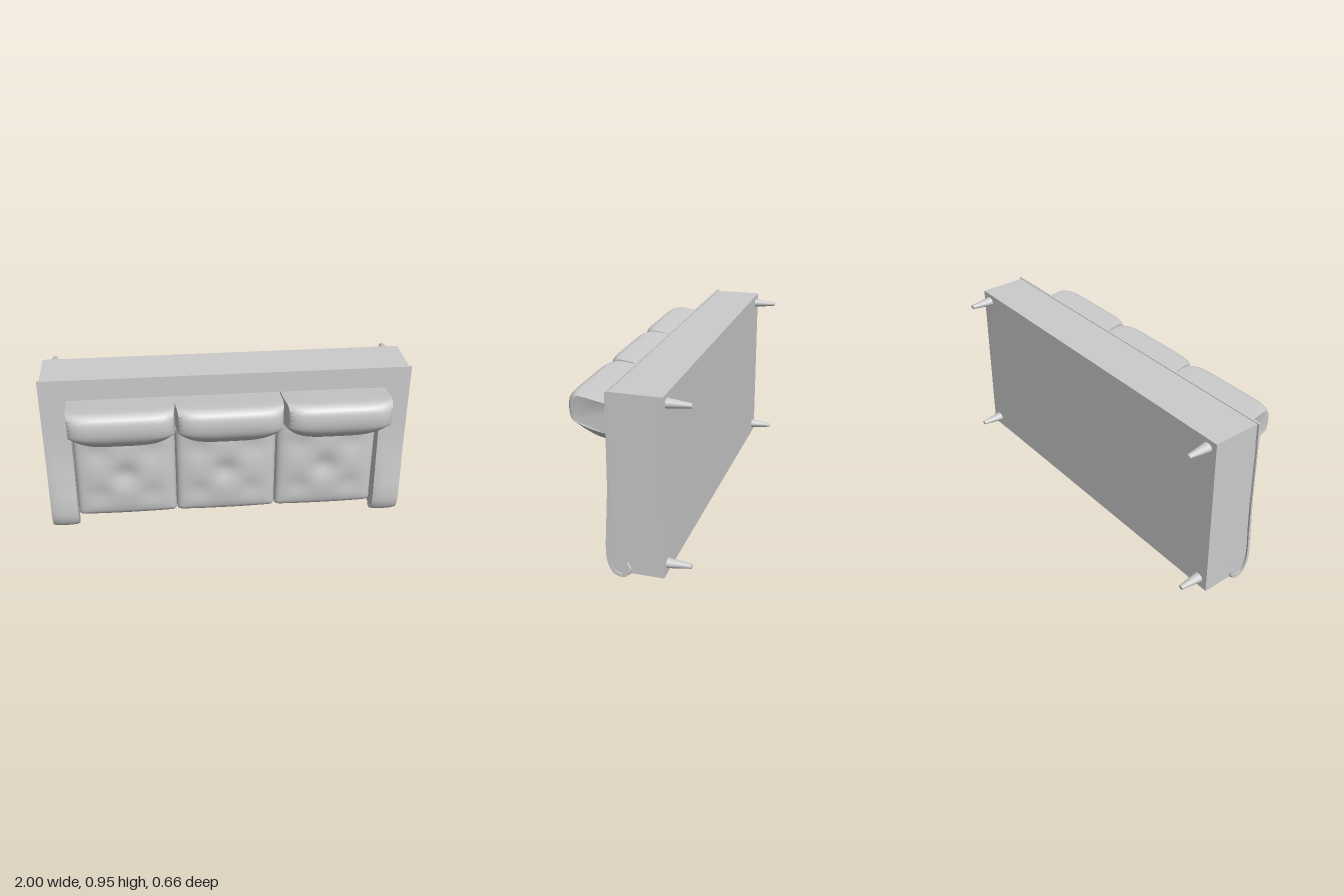
import * as THREE from 'three';
import { mergeVertices, toCreasedNormals } from 'three/addons/utils/BufferGeometryUtils.js';

const material = new THREE.MeshStandardMaterial({ color: 0xcccccc });

function add(group, name, geometry, x = 0, y = 0, z = 0) {
  const mesh = new THREE.Mesh(geometry, material);
  mesh.name = name;
  mesh.position.set(x, y, z);
  group.add(mesh);
}

// Box given by its limits
function box(group, name, [x0, x1], [y0, y1], [z0, z1]) {
  add(group, name, new THREE.BoxGeometry(x1 - x0, y1 - y0, z1 - z0),
    (x0 + x1) / 2, (y0 + y1) / 2, (z0 + z1) / 2);
}

// Outline of [z, y] points extruded along x, centred on x = 0
function sideProfile(points, width, steps = 1) {
  const shape = new THREE.Shape(points.map(([z, y]) => new THREE.Vector2(z, y)));
  const geometry = new THREE.ExtrudeGeometry(shape, { depth: width, steps, bevelEnabled: false });
  return geometry.translate(0, 0, -width / 2).rotateY(-Math.PI / 2);
}

// Smooth curve through [z, y] points
function smooth(points, count, closed = false) {
  const curve = new THREE.CatmullRomCurve3(points.map(([z, y]) => new THREE.Vector3(z, y, 0)), closed);
  const out = curve.getPoints(count).map(p => [p.x, p.y]);
  if (closed) out.pop();
  return out;
}

// Moves every vertex by a rule, then renews the normals
function deform(geometry, rule, crease) {
  geometry.deleteAttribute('normal');
  geometry.deleteAttribute('uv');
  const merged = mergeVertices(geometry, 1e-4);
  const pos = merged.attributes.position;
  const v = new THREE.Vector3();
  for (let i = 0; i < pos.count; i++) {
    rule(v.fromBufferAttribute(pos, i));
    pos.setXYZ(i, v.x, v.y, v.z);
  }
  merged.computeVertexNormals();
  return crease ? toCreasedNormals(merged, crease) : merged;
}

// Rounded, puffed seat pad with soft button dimples
function seatGeometry() {
  const half = new THREE.Vector3(0.284, 0.418, 0.09), r = 0.03;
  const inner = half.clone().subScalar(r);
  const low = inner.clone().negate();
  const core = new THREE.Vector3();
  const dimples = [[0, -0.12, 0.024], [-0.15, -0.25, 0.012], [0.15, -0.25, 0.012],
    [-0.15, 0.03, 0.012], [0.15, 0.03, 0.012], [0, 0.17, 0.012]];
  return deform(new THREE.BoxGeometry(0.568, 0.836, 0.18, 40, 56, 14), p => {
    core.copy(p).clamp(low, inner);
    p.sub(core).normalize().multiplyScalar(r).add(core);
    const u = p.x / half.x, v = p.y / half.y, w = p.z / half.z;
    if (w > 0) {
      p.z += 0.034 * (1 - u ** 4) * (1 - v ** 4);
      for (const [x, y, depth] of dimples)
        p.z -= depth * Math.exp(-((p.x - x) ** 2 + (p.y - y) ** 2) / 0.005);
    }
    // front face is bowed in height and in width
    if (v < -0.8) p.y += (0.025 * w * w - 0.005 * (1 - u * u)) * (-v - 0.8) / 0.2;
  });
}

// Back cushion: rounded wedge whose belly rises toward both ends
function backCushionGeometry() {
  const outline = smooth([[-0.02, 0.82], [0.06, 0.83], [0.16, 0.846], [0.25, 0.86], [0.292, 0.86],
    [0.322, 0.835], [0.33, 0.78], [0.316, 0.72], [0.275, 0.67], [0.2, 0.62],
    [0.13, 0.6], [0.06, 0.592], [-0.02, 0.6]].reverse(), 60, true);
  return deform(sideProfile(outline, 0.57, 28), p => {
    const u = Math.abs(p.x / 0.285);
    const seam = 0.68 + (p.z - 0.06) * 0.18;
    if (p.y < seam) p.y += (seam - p.y) * 0.85 * u ** 4;
    p.y = 0.77 + (p.y - 0.77) * (1 - 0.06 * u ** 10);
    p.z = 0.02 + (p.z - 0.02) * (1 - 0.1 * u ** 8);
    // the outer face narrows slightly
    p.x *= 1 - 0.07 * Math.max(0, (p.z - 0.14) / 0.19) ** 2;
  }, 0.9);
}

// Arm pad: strip curling over at the front, crowned across its width
function armPadGeometry(front) {
  const outer = smooth([[0.062, 0.949], [0.062, 0.7], [0.064, 0.5], [0.08, 0.3], [0.09, 0.16], [0.082, 0.07],
    [0.05, 0.016], [0, 0], [-0.035, 0.012], [-0.052, 0.045], [-0.038, 0.085]], 50);
  const outline = [...outer, [-0.028, 0.078], [-0.038, 0.05], [-0.025, 0.025], ...front];
  return deform(sideProfile(outline.reverse(), 0.15, 10), p => {
    const fade = THREE.MathUtils.clamp((0.55 - p.y) / 0.35, 0, 1);
    const amount = 0.011 * fade * Math.abs(p.x / 0.075) ** 3;
    const dy = Math.min(0, p.y - 0.07);
    const length = Math.hypot(p.z, dy);
    p.z -= amount * p.z / length;
    p.y -= 0.4 * amount * dy / length;
  }, 0.6);
}

export function createModel() {
  const model = new THREE.Group();
  model.name = 'sofa';

  // Frame
  box(model, 'base', [-0.86, 0.86], [0.028, 0.9], [-0.21, -0.12]);
  box(model, 'backrest', [-0.988, 0.988], [0.82, 0.946], [-0.21, 0.052]);
  box(model, 'backrestLip', [-1, 1], [0.83, 0.95], [0.05, 0.062]);

  // Arms: a side panel under a curling pad, sharing one front curve
  const front = smooth([[0, 0.014], [0.04, 0.028], [0.067, 0.08], [0.075, 0.16],
    [0.066, 0.3], [0.056, 0.5], [0.054, 0.7], [0.054, 0.946]], 40);
  const padGeometry = armPadGeometry(front);
  const panelGeometry = toCreasedNormals(
    sideProfile([[-0.21, 0.946], [-0.21, 0.026], [-0.03, 0.026], ...front], 0.136), 0.6);
  for (const [side, sign] of [['left', 1], ['right', -1]]) {
    add(model, side + 'ArmPanel', panelGeometry, sign * 0.92);
    add(model, side + 'ArmPad', padGeometry, sign * 0.925);
  }

  // Three seat pads and three back cushions
  const seat = seatGeometry();
  const cushion = backCushionGeometry();
  ['right', 'middle', 'left'].forEach((place, i) => {
    const x = (i - 1) * 0.57;
    add(model, place + 'SeatPad', seat, x, 0.437, -0.096);
    add(model, place + 'BackCushion', cushion, x + (i === 2 ? 0.006 : 0));
  });

  // Tapered legs, slightly wider than deep
  const legGeometry = new THREE.CylinderGeometry(0.025, 0.011, 0.12, 20)
    .rotateX(Math.PI / 2).scale(1.18, 1, 1);
  for (const [end, y] of [['front', 0.08], ['back', 0.9]])
    for (const [side, x] of [['Left', 0.93], ['Right', -0.93]])
      add(model, end + side + 'Leg', legGeometry, x, y, -0.27);

  return model;
}
